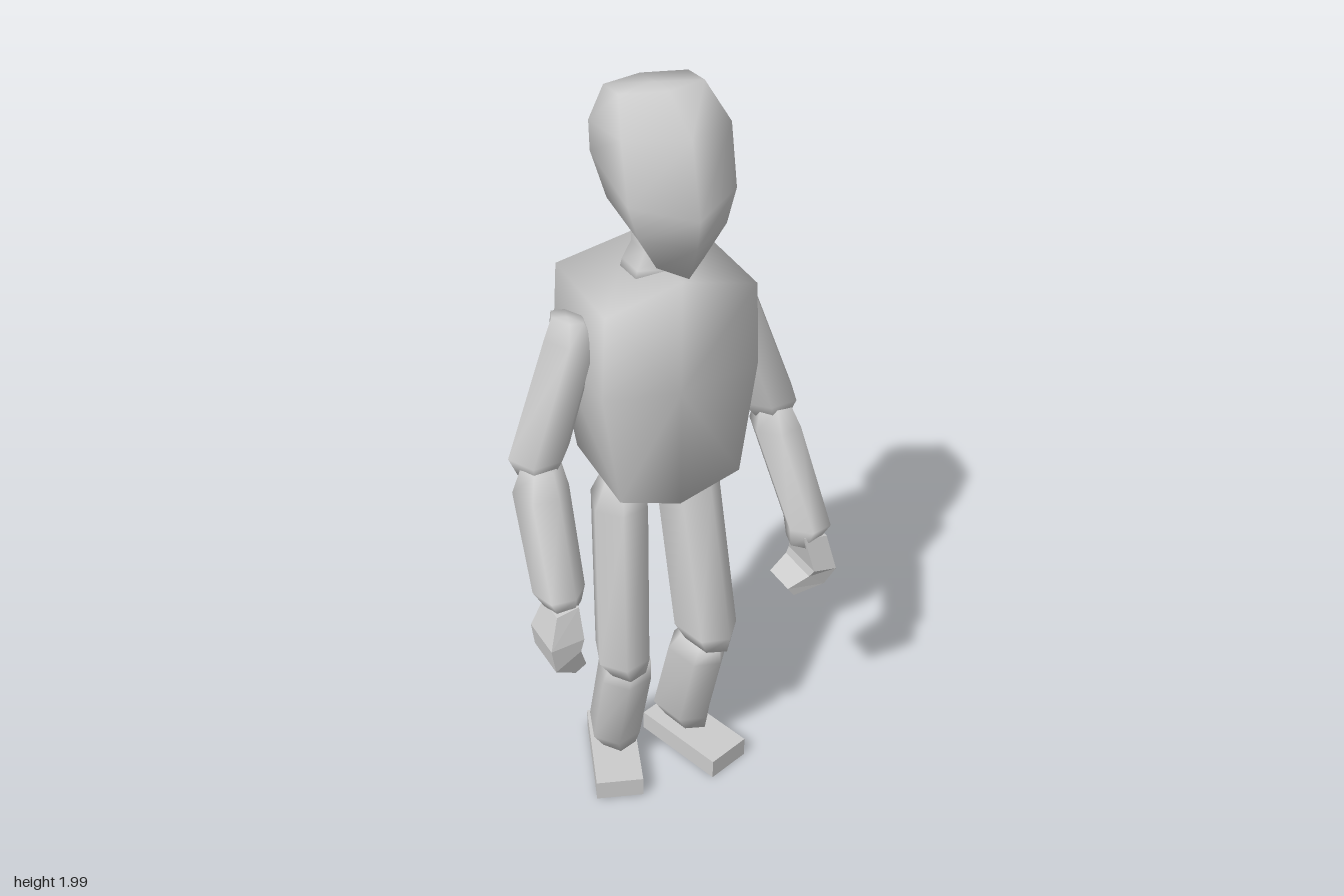
import * as THREE from 'three';

const grey = new THREE.MeshStandardMaterial({ color: 0xcccccc });
const greyFlat = new THREE.MeshStandardMaterial({ color: 0xcccccc, flatShading: true });

// Skin a list of rings (arrays of [x, y, z]) and close both ends
function loft(name, rings, material = grey) {
  const n = rings[0].length, pos = [], index = [];
  rings.forEach(r => r.forEach(p => pos.push(...p)));
  for (let j = 0; j < rings.length - 1; j++) {
    for (let i = 0; i < n; i++) {
      const a = j * n + i, b = j * n + (i + 1) % n;
      index.push(a, b, b + n, a, b + n, a + n);
    }
  }
  [0, rings.length - 1].forEach(j => {
    const c = pos.length / 3;
    pos.push(...[0, 1, 2].map(k => rings[j].reduce((s, p) => s + p[k], 0) / n));
    for (let i = 0; i < n; i++) {
      const a = j * n + i, b = j * n + (i + 1) % n;
      if (j === 0) index.push(c, b, a);
      else index.push(c, a, b);
    }
  });
  const g = new THREE.BufferGeometry();
  g.setAttribute('position', new THREE.Float32BufferAttribute(pos, 3));
  g.setIndex(index);
  g.computeVertexNormals();
  const mesh = new THREE.Mesh(g, material);
  mesh.name = name;
  return mesh;
}

// Six-sided section with ridges at front and back, in order around +y
const HEX = [[0, 1], [1, 0.55], [1, -0.55], [0, -1], [-1, -0.55], [-1, 0.55]];

// Sections from bottom to top: [y, centre x, centre z, half width, half depth, slope along z]
function hexPart(name, sections, yaw = 0) {
  const c = Math.cos(yaw), s = Math.sin(yaw);
  return loft(name, sections.map(([y, cx, cz, hw, hd, slope = 0]) => HEX.map(([u, v]) => {
    const x = u * hw, z = v * hd;
    return [cx + x * c + z * s, y + z * slope, cz - x * s + z * c];
  })));
}

// Curled mitten from fingertips to wrist: [inner x, inner y, outer x, outer y, back z, front z]
function hand(name, side, sections) {
  return loft(name, sections.map(([xi, yi, xo, yo, z0, z1]) => {
    const ring = [[side * xi, yi, z1], [side * xo, yo, z1], [side * xo, yo, z0], [side * xi, yi, z0]];
    return side > 0 ? ring : ring.reverse();
  }), greyFlat);
}

function foot(name, x, y, z, length, yaw) {
  const mesh = new THREE.Mesh(new THREE.BoxGeometry(0.13, 0.06, length), greyFlat);
  mesh.position.set(x, y, z);
  mesh.rotation.y = yaw;
  mesh.name = name;
  return mesh;
}

export function createModel() {
  const model = new THREE.Group();
  model.name = 'figure';

  // Head, turned slightly to its right
  const head = hexPart('head', [
    [1.622, 0.02, 0.01, 0.06, 0.11, -0.34],
    [1.70, 0.02, -0.01, 0.11, 0.172, -0.12],
    [1.795, 0.02, -0.03, 0.134, 0.205, -0.2],
    [1.905, 0.02, -0.05, 0.134, 0.178, 0.14],
    [1.985, 0.02, -0.08, 0.105, 0.08, 0.1],
  ]);
  head.rotation.y = -0.085;

  const neck = hexPart('neck', [
    [1.53, 0.01, -0.03, 0.085, 0.075],
    [1.57, 0.01, -0.03, 0.075, 0.07],
    [1.61, 0.01, -0.035, 0.05, 0.062],
    [1.69, 0.01, -0.04, 0.05, 0.06],
  ]);

  // Torso: an upright profile carried from back to front; [x, y, back z]
  const half = [[0.165, 0.99, -0.17], [0.207, 1.3, -0.2], [0.197, 1.522, -0.19]];
  const profile = [[0, 0.935, -0.165], ...half, [0, 1.57, -0.18],
    ...half.slice().reverse().map(([x, y, z]) => [-x, y, z])];
  const torso = loft('torso', [
    profile.map(([x, y, z]) => [x + 0.008, y, z]),
    profile.map(([x, y]) => [x + 0.008, y, 0.105]),
  ]);
  torso.rotation.y = -0.06;
  model.add(head, neck, torso);

  // Left arm
  model.add(
    hexPart('leftUpperArm', [
      [1.05, 0.335, -0.01, 0.045, 0.05],
      [1.095, 0.328, -0.018, 0.07, 0.072],
      [1.40, 0.225, -0.035, 0.06, 0.07],
      [1.45, 0.238, -0.035, 0.025, 0.05],
    ], -0.4),
    hexPart('leftForearm', [
      [0.735, 0.34, 0.16, 0.035, 0.045],
      [0.79, 0.355, 0.16, 0.055, 0.062],
      [1.02, 0.338, 0.01, 0.06, 0.068],
      [1.08, 0.335, 0.0, 0.04, 0.045],
    ], -0.3),
    hand('leftHand', 1, [
      [0.28, 0.612, 0.30, 0.583, 0.11, 0.20],
      [0.335, 0.645, 0.385, 0.602, 0.10, 0.215],
      [0.34, 0.67, 0.41, 0.655, 0.105, 0.23],
      [0.32, 0.77, 0.39, 0.755, 0.13, 0.205],
    ]));

  // Right arm
  model.add(
    hexPart('rightUpperArm', [
      [1.075, -0.33, -0.02, 0.045, 0.05],
      [1.12, -0.32, -0.03, 0.07, 0.072],
      [1.41, -0.21, -0.05, 0.06, 0.07],
      [1.462, -0.222, -0.05, 0.025, 0.05],
    ], 0.45),
    hexPart('rightForearm', [
      [0.785, -0.355, 0.15, 0.04, 0.045],
      [0.83, -0.362, 0.145, 0.056, 0.062],
      [1.04, -0.338, 0.01, 0.06, 0.068],
      [1.1, -0.33, 0.0, 0.045, 0.045],
    ], 0.3),
    hand('rightHand', -1, [
      [0.325, 0.618, 0.355, 0.6, 0.12, 0.21],
      [0.345, 0.68, 0.415, 0.64, 0.10, 0.225],
      [0.335, 0.715, 0.425, 0.71, 0.105, 0.225],
      [0.335, 0.80, 0.395, 0.79, 0.12, 0.20],
    ]));

  // Left leg
  model.add(
    hexPart('leftThigh', [
      [0.43, 0.1, 0.09, 0.045, 0.075],
      [0.48, 0.098, 0.08, 0.066, 0.095],
      [0.91, 0.095, -0.025, 0.067, 0.09],
      [0.97, 0.1, -0.03, 0.045, 0.06],
    ], 0.25),
    hexPart('leftShin', [
      [0.06, 0.095, -0.01, 0.045, 0.075],
      [0.11, 0.085, -0.02, 0.062, 0.098],
      [0.38, 0.085, 0.06, 0.062, 0.092],
      [0.425, 0.095, 0.065, 0.045, 0.07],
    ], 0.25),
    foot('leftFoot', 0.088, 0.032, 0.043, 0.28, 0.28));

  // Right leg
  model.add(
    hexPart('rightThigh', [
      [0.425, -0.14, 0.075, 0.045, 0.07],
      [0.48, -0.152, 0.07, 0.066, 0.09],
      [0.91, -0.108, -0.02, 0.068, 0.088],
      [0.975, -0.1, -0.025, 0.045, 0.06],
    ], -0.35),
    hexPart('rightShin', [
      [0.063, -0.12, -0.03, 0.045, 0.07],
      [0.11, -0.127, -0.035, 0.065, 0.09],
      [0.38, -0.13, 0.04, 0.065, 0.09],
      [0.43, -0.12, 0.045, 0.055, 0.07],
    ], -0.35),
    foot('rightFoot', -0.148, 0.036, 0.003, 0.29, -0.37));

  return model;
}
